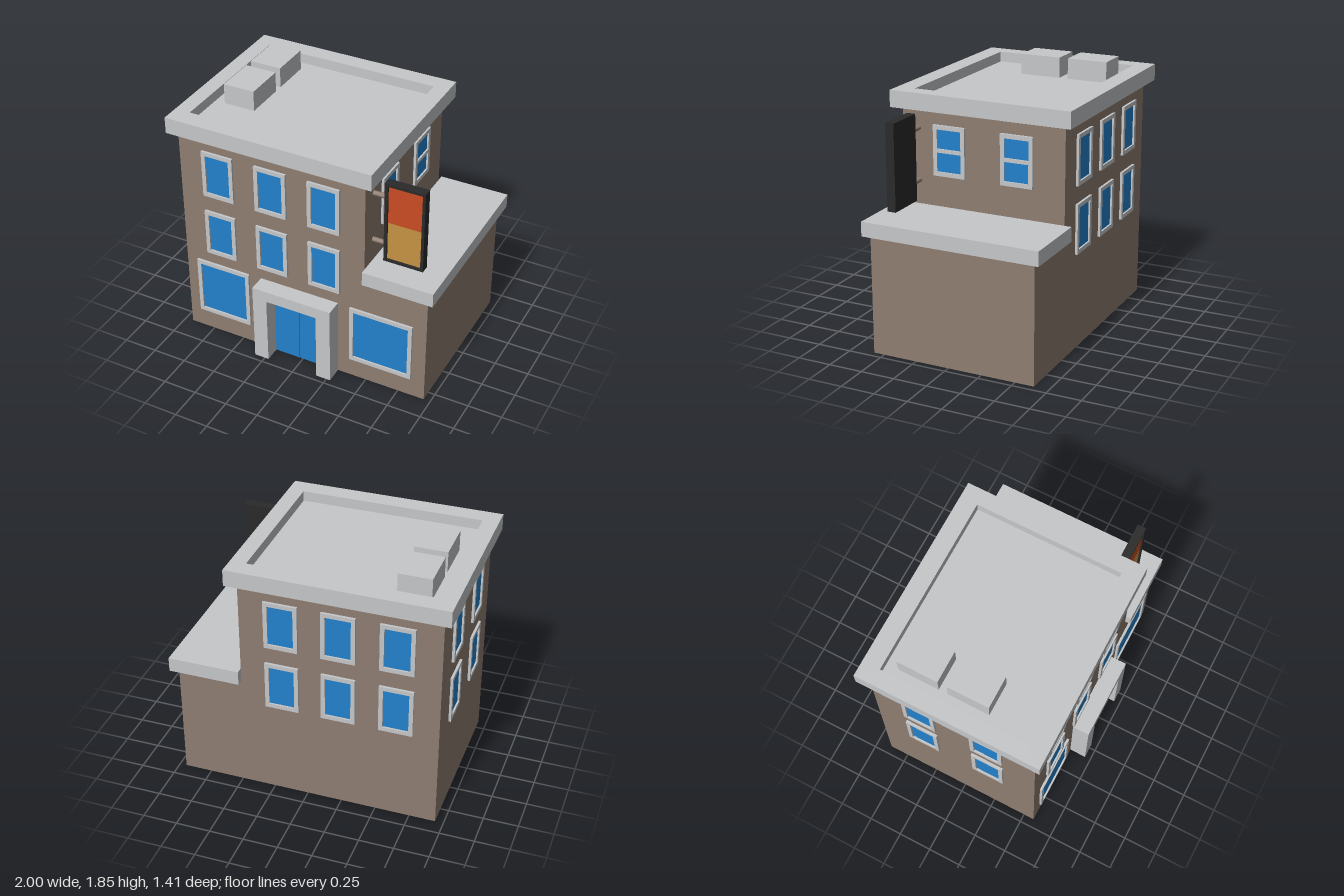
import * as THREE from 'three';

const material = (name, color) => {
  const m = new THREE.MeshStandardMaterial({ color });
  m.name = name;
  return m;
};

export function createModel() {
  const wall = material('brown wall', 0x8f7d72);
  const trim = material('grey trim', 0xc5c7c8);
  const glass = material('blue glass', 0x2280cc);
  const dark = material('dark sign frame', 0x2a2a2a);
  const orange = material('orange panel', 0xc94c22);
  const ochre = material('ochre panel', 0xc69344);

  const model = new THREE.Group();
  model.name = 'building';

  const add = (name, geometry, mat, parent = model) => {
    const mesh = new THREE.Mesh(geometry, mat);
    mesh.name = name;
    parent.add(mesh);
    return mesh;
  };
  // Box given by its limits on each axis
  const box = (name, [x0, x1], [y0, y1], [z0, z1], mat, parent) => {
    const mesh = add(name, new THREE.BoxGeometry(x1 - x0, y1 - y0, z1 - z0), mat, parent);
    mesh.position.set((x0 + x1) / 2, (y0 + y1) / 2, (z0 + z1) / 2);
    return mesh;
  };
  const polygon = (points) => new THREE.Shape(points.map(([x, y]) => new THREE.Vector2(x, y)));
  const rect = (x0, x1, y0, y1) => polygon([[x0, y0], [x1, y0], [x1, y1], [x0, y1]]);
  const extrude = (shape, depth) => new THREE.ExtrudeGeometry(shape, { depth, bevelEnabled: false });

  // Walls: tall block with a lower wing on one side
  const outline = polygon([[-0.94, 0], [0.95, 0], [0.95, 0.87], [0.48, 0.87], [0.48, 1.66], [-0.94, 1.66]]);
  add('walls', extrude(outline, 1.22), wall).position.z = -0.64;

  // Main roof: parapet ring around a sunken floor
  const ring = rect(-1, 0.55, -0.64, 0.705);
  ring.holes.push(rect(-0.885, 0.435, -0.505, 0.575));
  const parapet = add('roofParapet', extrude(ring, 0.12), trim);
  parapet.rotation.x = -Math.PI / 2;
  parapet.position.y = 1.655;
  box('roofFloor', [-0.885, 0.435], [1.655, 1.7], [-0.575, 0.505], trim);
  for (const z of [[-0.49, -0.19], [-0.125, 0.18]]) {
    box('roofUnit', [-0.81, -0.575], [1.7, 1.85], z, trim);
  }
  box('wingRoof', [0.48, 1], [0.865, 0.97], [-0.69, 0.62], trim);

  // Window facing +z, centred on its own origin; optional middle bar
  function makeWindow(w, h, split) {
    const group = new THREE.Group();
    group.name = 'window';
    const edge = 0.03;
    const x = w / 2 - edge, y = h / 2 - edge;
    const frame = rect(-w / 2, w / 2, -h / 2, h / 2);
    const bands = split ? [[-y, -0.013], [0.013, y]] : [[-y, y]];
    for (const [y0, y1] of bands) {
      frame.holes.push(rect(-x, x, y0, y1));
      box('windowPane', [-x, x], [y0, y1], [0, 0.005], glass, group);
    }
    add('windowFrame', extrude(frame, 0.018), trim, group);
    model.add(group);
    return group;
  }

  const rows = [1.373, 0.885];
  const columns = [-0.637, -0.228, 0.177];
  const sideColumns = [0.218, -0.29];

  // Upper windows on front, back and sides
  for (const y of rows) {
    for (const x of columns) {
      makeWindow(0.242, 0.36, false).position.set(x, y, 0.58);
      const back = makeWindow(0.242, 0.36, false);
      back.position.set(x, y, -0.64);
      back.rotation.y = Math.PI;
    }
    for (const z of sideColumns) {
      const side = makeWindow(0.24, 0.36, false);
      side.position.set(-0.94, y, z);
      side.rotation.y = -Math.PI / 2;
    }
  }
  for (const z of sideColumns) {
    const side = makeWindow(0.24, 0.36, true);
    side.position.set(0.48, rows[0], z);
    side.rotation.y = Math.PI / 2;
  }

  // Shop windows
  makeWindow(0.425, 0.455, false).position.set(-0.637, 0.383, 0.58);
  makeWindow(0.475, 0.455, false).position.set(0.612, 0.383, 0.58);

  // Entrance surround and double door
  const surround = polygon([[-0.33, 0], [-0.22, 0], [-0.22, 0.525], [0.17, 0.525],
    [0.17, 0], [0.28, 0], [0.28, 0.61], [-0.33, 0.61]]);
  add('doorSurround', extrude(surround, 0.125), trim).position.z = 0.58;
  for (const x of [[-0.22, -0.027], [-0.023, 0.17]]) {
    box('doorLeaf', x, [0, 0.525], [0.58, 0.588], glass);
  }

  // Hanging sign: backed frame with two panels, held by two rods
  const sign = new THREE.Group();
  sign.name = 'sign';
  model.add(sign);
  const signRim = rect(0.575, 0.865, 1.02, 1.637);
  signRim.holes.push(rect(0.598, 0.844, 1.04, 1.617));
  add('signRim', extrude(signRim, 0.02), dark, sign).position.z = 0.472;
  box('signBack', [0.575, 0.865], [1.02, 1.637], [0.428, 0.472], dark, sign);
  box('signUpperPanel', [0.598, 0.844], [1.328, 1.617], [0.472, 0.48], orange, sign);
  box('signLowerPanel', [0.598, 0.844], [1.04, 1.328], [0.472, 0.48], ochre, sign);
  for (const y of [1.143, 1.515]) {
    const rod = add('signRod', new THREE.CylinderGeometry(0.018, 0.018, 0.11, 12), wall, sign);
    rod.rotation.z = Math.PI / 2;
    rod.position.set(0.53, y, 0.456);
  }

  return model;
}
